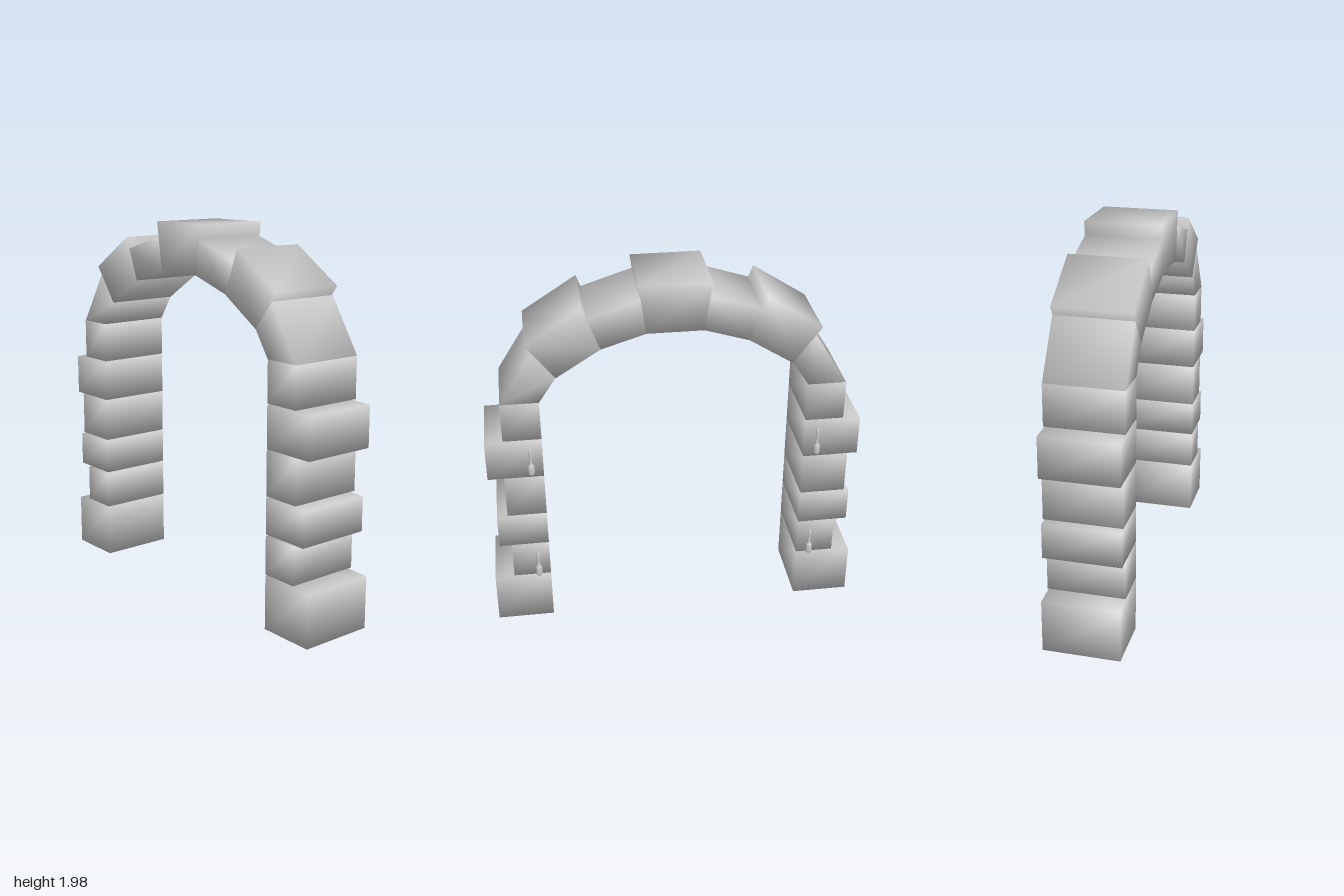
import * as THREE from 'three';
import { mergeVertices } from 'three/addons/utils/BufferGeometryUtils.js';

const Z_BACK = -0.178, Z_FRONT = 0.222;

export function createModel() {
  const group = new THREE.Group();
  const stone = new THREE.MeshStandardMaterial({ color: 0xcccccc });

  // Stone block: a box whose corners follow a quad [bottomLeft, bottomRight, topRight, topLeft],
  // with shared corners so the shading is soft
  function block(name, [bl, br, tr, tl]) {
    let geo = new THREE.BoxGeometry(1, 1, 1);
    geo.deleteAttribute('normal');
    geo.deleteAttribute('uv');
    const p = geo.attributes.position;
    for (let i = 0; i < p.count; i++) {
      const right = p.getX(i) > 0, top = p.getY(i) > 0;
      const c = top ? (right ? tr : tl) : (right ? br : bl);
      p.setXYZ(i, c[0], c[1], p.getZ(i) > 0 ? Z_FRONT : Z_BACK);
    }
    geo = mergeVertices(geo);
    geo.computeVertexNormals();
    const mesh = new THREE.Mesh(geo, stone);
    mesh.name = name;
    group.add(mesh);
  }

  // Pillars: [bottom, top, outer x on the right, outer x on the left, outward top tilt]
  const courses = [
    [0, 0.285, 1.0, 1.0, -0.008],
    [0.292, 0.492, 0.895, 0.898, -0.002],
    [0.502, 0.69, 0.96, 0.966, -0.006],
    [0.698, 0.932, 0.902, 0.938, 0],
    [0.936, 1.157, 0.988, 0.99, -0.005],
    [1.163, 1.376, 0.893, 0.896, 0],
  ];
  for (const [y0, y1, xr, xl, tilt] of courses) {
    const inner = 0.694;
    block('leftPillarBlock', [[inner, y0], [xr, y0], [xr, y1 + tilt], [inner, y1]]);
    block('rightPillarBlock', [[-xl, y0], [-inner, y0], [-inner, y1], [-xl, y1 + tilt]]);
  }

  // Arch stones on the left, mirrored to the right
  const archStones = {
    Springer: [[0.694, 1.378], [0.893, 1.378], [0.718, 1.655], [0.604, 1.513]],
    Haunch: [[0.604, 1.511], [0.748, 1.702], [0.463, 1.885], [0.374, 1.656]],
    Shoulder: [[0.374, 1.656], [0.44, 1.822], [0.172, 1.908], [0.145, 1.727]],
  };
  for (const [name, q] of Object.entries(archStones)) {
    block('left' + name, q);
    const m = q.map(([x, y]) => [-x, y]);
    block('right' + name, [m[1], m[0], m[3], m[2]]);
  }
  block('keystone', [[-0.145, 1.727], [0.145, 1.727], [0.183, 1.982], [-0.183, 1.982]]);

  // Hinge pins on the back: thick base, slim neck, rounded top, short peg into the stone
  const pinProfile = [
    [0, 0], [0.013, 0.002], [0.018, 0.012], [0.018, 0.05], [0.014, 0.062],
    [0.007, 0.07], [0.008, 0.1], [0.01, 0.135], [0.007, 0.152], [0, 0.157],
  ].map(([r, y]) => new THREE.Vector2(r, y));
  const pinGeo = new THREE.LatheGeometry(pinProfile, 12);
  const pegGeo = new THREE.CylinderGeometry(0.006, 0.006, 0.04, 8).rotateX(Math.PI / 2);
  for (const x of [-0.757, 0.757]) {
    for (const y of [0.304, 0.965]) {
      const hinge = new THREE.Group();
      hinge.name = 'hingePin';
      const pin = new THREE.Mesh(pinGeo, stone);
      pin.name = 'pin';
      const peg = new THREE.Mesh(pegGeo, stone);
      peg.name = 'peg';
      peg.position.set(0, 0.032, 0.016);
      hinge.add(pin, peg);
      hinge.position.set(x, y, -0.204);
      group.add(hinge);
    }
  }
  return group;
}
